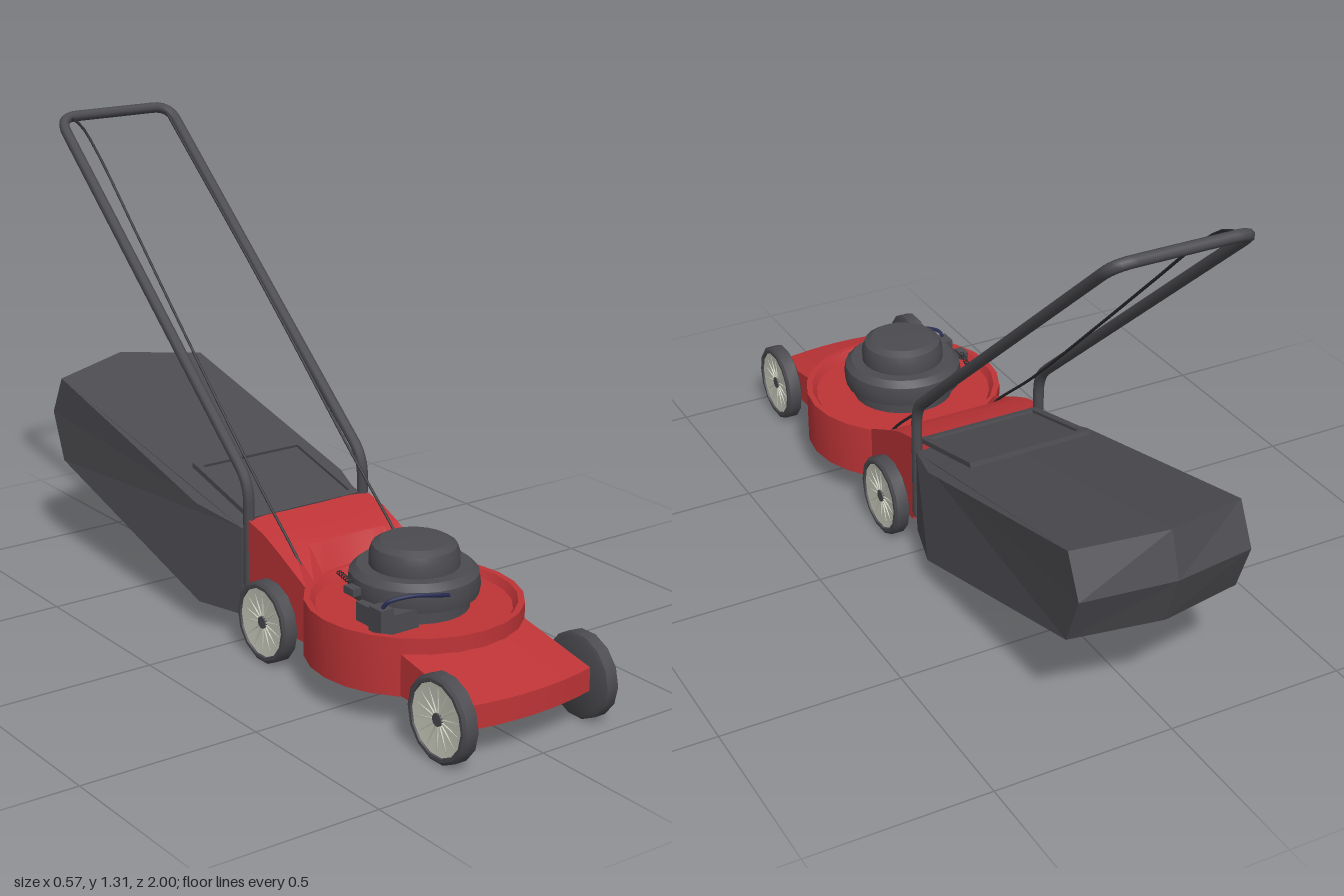
import * as THREE from 'three';
import { toCreasedNormals } from 'three/addons/utils/BufferGeometryUtils.js';

const mat = (name, color) => {
  const m = new THREE.MeshStandardMaterial({ color });
  m.name = name;
  return m;
};
const V = (x, y, z) => new THREE.Vector3(x, y, z);

// Turned part: profile of [radius, height] points, bottom to top along the outside
function turned(profile, sides) {
  const g = new THREE.LatheGeometry(profile.map(p => new THREE.Vector2(...p)), sides);
  return toCreasedNormals(g, 0.5);
}

// Flat-sided body skinned across columns { x, pts }, pts = [z, y] running
// front-top, back-top, back-bottom, front-bottom
function skinned(columns) {
  const pos = [];
  const at = (i, k) => {
    const c = columns[i], p = c.pts[k % c.pts.length];
    return [c.x, p[1], p[0]];
  };
  const tri = (a, b, c) => pos.push(...a, ...b, ...c);
  const n = columns[0].pts.length, last = columns.length - 1;
  for (let i = 0; i < last; i++) {
    for (let k = 0; k < n; k++) {
      tri(at(i, k), at(i + 1, k), at(i + 1, k + 1));
      tri(at(i, k), at(i + 1, k + 1), at(i, k + 1));
    }
  }
  for (let k = 1; k < n - 1; k++) {
    tri(at(0, 0), at(0, k), at(0, k + 1));
    tri(at(last, 0), at(last, k + 1), at(last, k));
  }
  const g = new THREE.BufferGeometry();
  g.setAttribute('position', new THREE.Float32BufferAttribute(pos, 3));
  return toCreasedNormals(g, 0.3);
}

// Straight runs joined by rounded corners
function roundedPath(pts, r) {
  const path = new THREE.CurvePath();
  let from = pts[0];
  for (let i = 1; i < pts.length - 1; i++) {
    const a = pts[i].clone().add(pts[i - 1].clone().sub(pts[i]).setLength(r));
    const b = pts[i].clone().add(pts[i + 1].clone().sub(pts[i]).setLength(r));
    path.add(new THREE.LineCurve3(from, a));
    path.add(new THREE.QuadraticBezierCurve3(a, pts[i], b));
    from = b;
  }
  path.add(new THREE.LineCurve3(from, pts[pts.length - 1]));
  return path;
}

export function createModel() {
  const model = new THREE.Group();
  model.name = 'lawnMower';
  const red = mat('deckRed', 0xbe3437);
  const charcoal = mat('charcoal', 0x4b4b50);
  const black = mat('cableBlack', 0x2c2c2f);
  const cream = mat('rimCream', 0xcacbbd);
  const navy = mat('wireNavy', 0x262b55);

  const add = (name, geometry, material, x = 0, y = 0, z = 0, parent = model) => {
    const m = new THREE.Mesh(geometry, material);
    m.name = name;
    m.position.set(x, y, z);
    parent.add(m);
    return m;
  };
  const tube = (name, curve, r, material, segs = 40, sides = 6) =>
    add(name, new THREE.TubeGeometry(curve, segs, r, sides), material);

  // Round cutting deck, hollow underneath with a raised lip on top
  const cz = 0.49;
  add('cuttingDeck', turned([[0, 0.2], [0.265, 0.2], [0.265, 0.09], [0.285, 0.09],
    [0.285, 0.245], [0.268, 0.245], [0.255, 0.225], [0, 0.225]], 24), red, 0, 0, cz);

  // Sloping nose and rear ramp, both fitted to the round deck
  const xs = [-0.2, -0.15, -0.1, -0.05, 0, 0.05, 0.1, 0.15, 0.2];
  const reach = x => Math.sqrt(0.277 ** 2 - x * x);
  add('frontNose', skinned(xs.map(x => {
    const front = 0.965 - 0.6 * x * x, back = cz + reach(x);
    return { x, pts: [[front, 0.155], [back, 0.205], [back, 0.092], [front, 0.092]] };
  })), red);
  add('rearRamp', skinned(xs.map(x => {
    const front = cz - reach(x), back = 0.005 + 0.6 * x * x;
    return { x, pts: [[front, 0.243], [0.165, 0.308], [0.1, 0.336], [back, 0.354],
      [back, 0.092], [front, 0.092]] };
  })), red);

  // Blade and its shaft under the deck
  add('bladeShaft', new THREE.CylinderGeometry(0.018, 0.018, 0.1, 10), charcoal, 0, 0.16, cz);
  const blade = add('blade', new THREE.BoxGeometry(0.48, 0.01, 0.04), charcoal, 0, 0.115, cz);
  blade.rotation.y = 0.5;

  // Engine with stepped cowl
  add('engineCowl', turned([[0.145, 0.222], [0.145, 0.255], [0.167, 0.262], [0.172, 0.29],
    [0.168, 0.318], [0.15, 0.335], [0.118, 0.335], [0.118, 0.365], [0.11, 0.388],
    [0.09, 0.4], [0, 0.403]], 24), charcoal, 0, 0, cz);
  add('carburettor', new THREE.BoxGeometry(0.1, 0.05, 0.13), charcoal, -0.14, 0.25, 0.56);
  add('airIntake', new THREE.BoxGeometry(0.04, 0.065, 0.05), charcoal, -0.19, 0.262, 0.6);
  add('throttleBracket', new THREE.BoxGeometry(0.025, 0.02, 0.04), charcoal, -0.19, 0.3, 0.48);
  tube('sparkWire', new THREE.CatmullRomCurve3([V(-0.195, 0.295, 0.61), V(-0.185, 0.312, 0.62),
    V(-0.13, 0.324, 0.645), V(-0.07, 0.317, 0.66), V(-0.02, 0.305, 0.657)]), 0.005, navy);
  const coil = [];
  for (let i = 0; i <= 48; i++) {
    const a = i * Math.PI / 4;
    coil.push(V(-0.18 + 0.0004 * i + 0.006 * Math.cos(a), 0.312 + 0.006 * Math.sin(a), 0.46 - 0.0017 * i));
  }
  tube('governorSpring', new THREE.CatmullRomCurve3(coil), 0.0015, black, 140, 4);

  // Wheels: tyre, ribbed rim and hub
  const tyreGeo = turned([[0, 0], [0.1, 0], [0.113, 0.006], [0.113, 0.041], [0.105, 0.047],
    [0.096, 0.047], [0.094, 0.04]], 14).rotateZ(-Math.PI / 2);
  const rimGeo = turned([[0.096, 0.042], [0.03, 0.036], [0, 0.036]], 14).rotateZ(-Math.PI / 2);
  const hubGeo = new THREE.CylinderGeometry(0.017, 0.017, 0.012, 10).rotateZ(Math.PI / 2);
  const ribGeo = new THREE.BoxGeometry(0.004, 0.075, 0.004).translate(0, 0.055, 0);
  for (const [end, z] of [['front', 0.887], ['rear', 0.15]]) {
    for (const side of [1, -1]) {
      const wheel = new THREE.Group();
      wheel.name = end + (side > 0 ? 'LeftWheel' : 'RightWheel');
      wheel.position.set(0.2 * side, 0.113, z);
      if (side < 0) wheel.rotation.y = Math.PI;
      add('tyre', tyreGeo, charcoal, 0, 0, 0, wheel);
      add('rim', rimGeo, cream, 0, 0, 0, wheel);
      add('hub', hubGeo, charcoal, 0.037, 0, 0, wheel);
      for (let i = 0; i < 14; i++) {
        add('rimRib', ribGeo, cream, 0.039, 0, 0, wheel).rotation.x = i * Math.PI / 7;
      }
      model.add(wheel);
    }
    add(end + 'Axle', new THREE.CylinderGeometry(0.01, 0.01, 0.4, 8).rotateZ(Math.PI / 2),
      charcoal, 0, 0.113, z);
  }

  // Grass bag: narrow mouth, upswept body and pointed back
  const side = w => [[0, 0.325], [-0.16, 0.36], [-0.89, 0.54], [-0.945, 0.425],
    [-0.89, 0.285], [-0.15, 0.075], [0, 0.075]].map(p => [p[0], p[1] + w]);
  const middle = [[0, 0.33], [-0.16, 0.37], [-0.96, 0.566], [-0.998, 0.442],
    [-0.948, 0.298], [-0.15, 0.075], [0, 0.075]];
  const bagGeo = skinned([{ x: -0.245, pts: side(0) }, { x: 0, pts: middle }, { x: 0.245, pts: side(0) }]);
  const bp = bagGeo.attributes.position;
  for (let i = 0; i < bp.count; i++) {
    if (bp.getZ(i) > -0.01) bp.setX(i, bp.getX(i) * 0.82);
  }
  bagGeo.computeVertexNormals();
  add('grassBag', bagGeo, charcoal);

  // Hinged flap with raised rim above the bag mouth
  const flap = new THREE.Group();
  flap.name = 'bagFlap';
  flap.position.set(0, 0.35, 0.01);
  flap.rotation.x = 0.255;
  model.add(flap);
  add('flapPlate', new THREE.BoxGeometry(0.34, 0.006, 0.28), charcoal, 0, -0.004, -0.145, flap);
  for (const s of [1, -1]) {
    add('flapSideRim', new THREE.BoxGeometry(0.02, 0.014, 0.29), charcoal, 0.17 * s, 0, -0.145, flap);
  }
  add('flapRearRim', new THREE.BoxGeometry(0.36, 0.014, 0.022), charcoal, 0, 0, -0.285, flap);
  add('flapFrontRim', new THREE.BoxGeometry(0.36, 0.014, 0.02), charcoal, 0, 0, -0.005, flap);

  // Push handle
  const half = [V(0.19, 0.11, 0.016), V(0.19, 0.455, 0.016), V(0.187, 1.302, -0.958)];
  const mirrored = half.map(p => V(-p.x, p.y, p.z)).reverse();
  tube('pushHandle', roundedPath([...half, ...mirrored], 0.055), 0.0155, charcoal, 220, 8);

  // Control cables running from the deck up to the handle bar
  tube('leftCable', new THREE.CatmullRomCurve3([V(0.165, 0.235, 0.25), V(0.166, 0.29, 0.2),
    V(0.168, 0.46, 0), V(0.168, 0.85, -0.43), V(0.166, 1.295, -0.945)]), 0.004, black);
  tube('rightCable', new THREE.CatmullRomCurve3([V(-0.16, 0.235, 0.25), V(-0.16, 0.29, 0.2),
    V(-0.158, 0.46, 0), V(-0.157, 0.8, -0.36), V(-0.155, 1.03, -0.6), V(-0.154, 1.22, -0.8),
    V(-0.153, 1.285, -0.89), V(-0.153, 1.3, -0.95)]), 0.004, black);

  return model;
}
